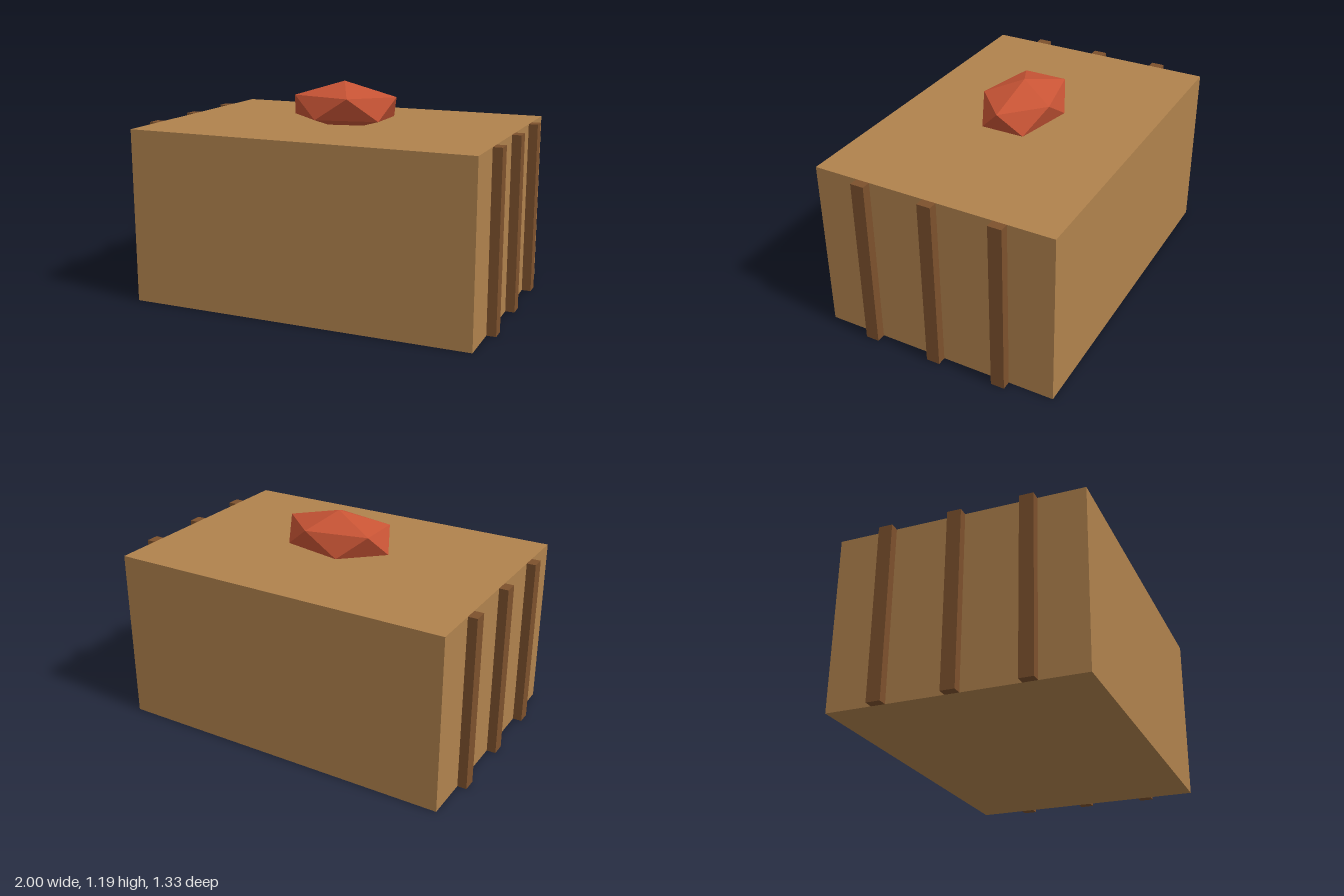
import * as THREE from 'three';
import { ConvexGeometry } from 'three/addons/geometries/ConvexGeometry.js';

function material(name, color) {
  const m = new THREE.MeshStandardMaterial({ color });
  m.name = name;
  return m;
}

// Stretched icosahedron standing on one of its points
function gemGeometry(rx, ry, rz) {
  const points = [new THREE.Vector3(0, ry, 0), new THREE.Vector3(0, -ry, 0)];
  const h = 1 / Math.sqrt(5);
  for (let i = 0; i < 5; i++) {
    const a = (i * Math.PI * 2) / 5;
    const p = new THREE.Vector3(2 * h * rx * Math.cos(a), h * ry, 2 * h * rz * Math.sin(a));
    points.push(p, p.clone().negate());
  }
  return new ConvexGeometry(points);
}

export function createModel() {
  const group = new THREE.Group();
  const wood = material('wood', 0xb0824d);
  const darkWood = material('dark wood', 0x7d512d);
  const red = material('red', 0xc85435);
  const height = 0.955;

  function add(name, geometry, mat, x, y, z) {
    const mesh = new THREE.Mesh(geometry, mat);
    mesh.name = name;
    mesh.position.set(x, y, z);
    group.add(mesh);
  }

  // Crate body
  add('crate', new THREE.BoxGeometry(1.9, height, 1.333), wood, 0, height / 2, 0);

  // Three upright battens on each end
  const batten = new THREE.BoxGeometry(0.05, height, 0.075);
  for (const side of [-1, 1]) {
    for (const z of [-0.381, 0, 0.381]) {
      add(side > 0 ? 'leftBatten' : 'rightBatten', batten, darkWood, side * 0.975, height / 2, z);
    }
  }

  // Faceted lump sunk slightly into the lid
  add('lump', gemGeometry(0.34, 0.137, 0.229), red, 0, 1.05, 0);

  return group;
}
